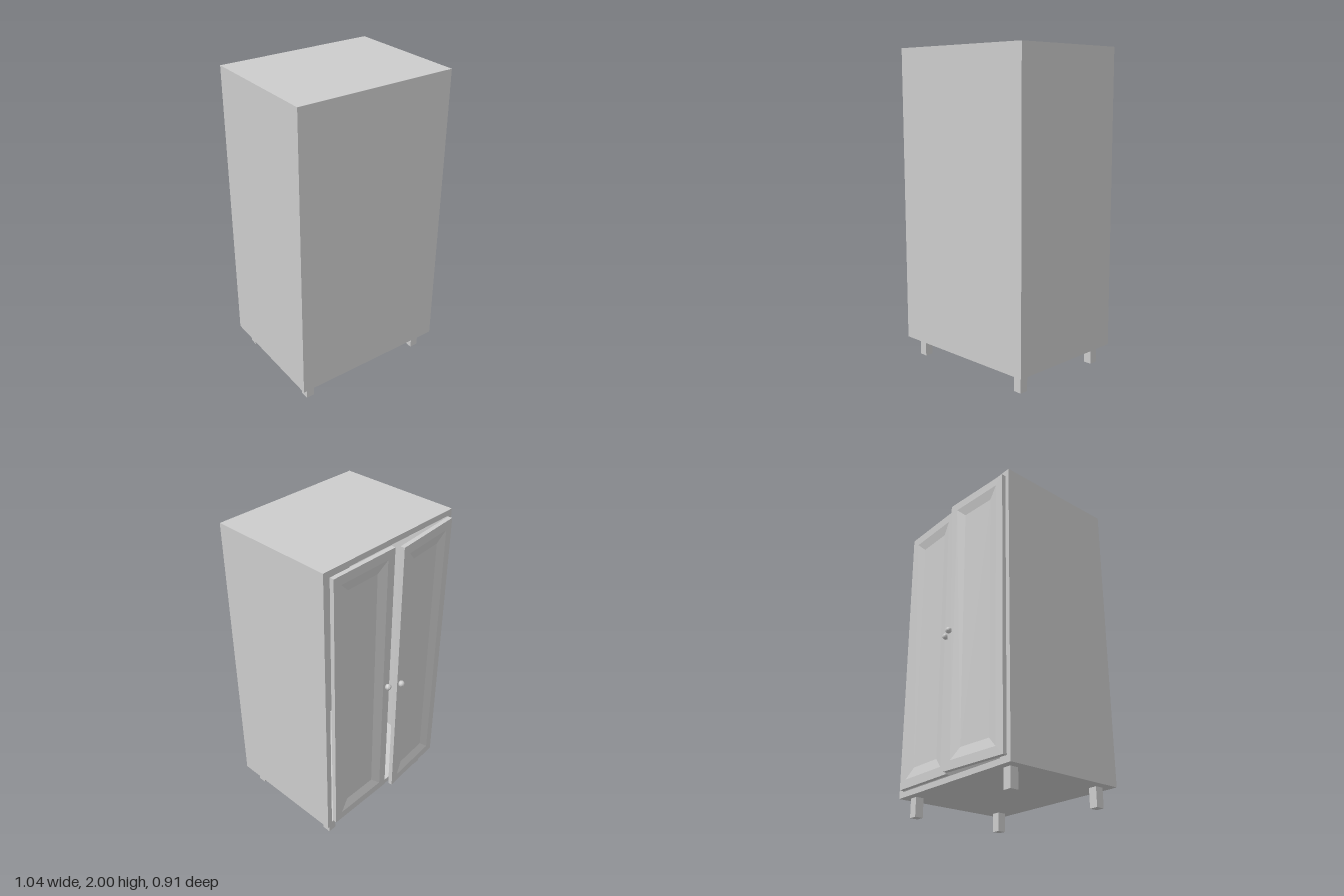
import * as THREE from 'three';

const material = new THREE.MeshStandardMaterial({ color: 0xcccccc, flatShading: true });

function addMesh(parent, name, geometry, x = 0, y = 0, z = 0) {
  const mesh = new THREE.Mesh(geometry, material);
  mesh.name = name;
  mesh.position.set(x, y, z);
  parent.add(mesh);
  return mesh;
}

// Door slab facing +z with a bevelled, recessed panel, made from nested rectangles
function doorGeometry(width, height, thickness) {
  const rim = 0.055, bevel = 0.065, recess = 0.016;
  const rings = [[0, 0], [0, thickness], [rim, thickness], [rim + bevel, thickness - recess]];
  const positions = [], index = [];
  for (const [inset, z] of rings) {
    const x = width / 2 - inset, y = height / 2 - inset;
    positions.push(-x, -y, z, x, -y, z, x, y, z, -x, y, z);
  }
  for (let r = 0; r < rings.length - 1; r++) {
    for (let k = 0; k < 4; k++) {
      const a = r * 4 + k, b = r * 4 + (k + 1) % 4;
      index.push(a, b, b + 4, a, b + 4, a + 4);
    }
  }
  const last = (rings.length - 1) * 4;
  index.push(last, last + 1, last + 2, last, last + 2, last + 3, 0, 2, 1, 0, 3, 2);
  const indexed = new THREE.BufferGeometry();
  indexed.setAttribute('position', new THREE.Float32BufferAttribute(positions, 3));
  indexed.setIndex(index);
  const geometry = indexed.toNonIndexed();
  geometry.computeVertexNormals();
  return geometry;
}

function rectangle(PathType, x, y0, y1) {
  const path = new PathType();
  path.moveTo(-x, y0);
  path.lineTo(x, y0);
  path.lineTo(x, y1);
  path.lineTo(-x, y1);
  path.closePath();
  return path;
}

export function createModel() {
  const model = new THREE.Group();
  model.name = 'cabinet';

  // Hollow case, open on the door side
  const halfWidth = 0.52, bottom = 0.12, top = 2, wall = 0.035;
  const doorSide = -0.355, panelSide = 0.455;
  const outline = rectangle(THREE.Shape, halfWidth, bottom, top);
  outline.holes.push(rectangle(THREE.Path, halfWidth - wall, bottom + wall, top - wall));
  const depth = panelSide - doorSide - wall;
  addMesh(model, 'case', new THREE.ExtrudeGeometry(outline, { depth, bevelEnabled: false }), 0, 0, doorSide);
  addMesh(model, 'closedPanel', new THREE.BoxGeometry(halfWidth * 2, top - bottom, wall),
    0, (top + bottom) / 2, panelSide - wall / 2);

  // Legs
  for (const x of [-0.435, 0.435]) {
    for (const z of [-0.28, 0.37]) {
      addMesh(model, 'leg', new THREE.BoxGeometry(0.055, bottom, 0.055), x, bottom / 2, z);
    }
  }

  // Doors hung on their outer edges; the right one stands slightly open
  const doorWidth = 0.47, thickness = 0.028;
  const doors = [
    { name: 'leftDoor', hinge: 0.475, side: 1, open: 0 },
    { name: 'rightDoor', hinge: -0.49, side: -1, open: 0.085 },
  ];
  for (const { name, hinge, side, open } of doors) {
    const door = new THREE.Group();
    door.name = name;
    door.position.set(hinge, 1.06, doorSide);
    door.rotation.y = Math.PI - side * open;
    addMesh(door, 'doorPanel', doorGeometry(doorWidth, 1.8, thickness), side * doorWidth / 2);
    addMesh(door, 'knob', new THREE.SphereGeometry(0.02, 10, 8),
      side * (doorWidth - 0.025), -0.03, thickness + 0.015);
    model.add(door);
  }
  return model;
}
